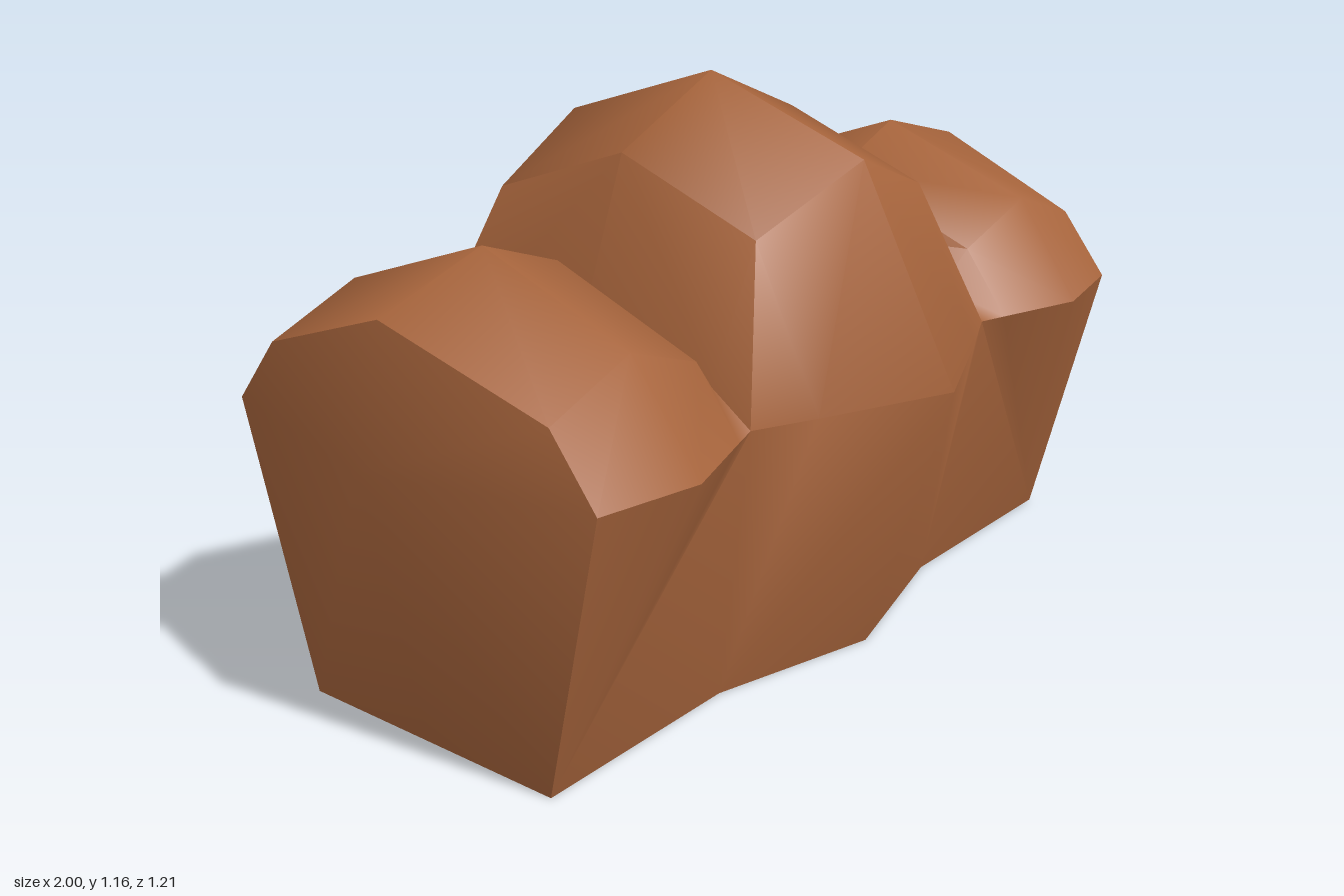
import * as THREE from 'three';
import { toCreasedNormals } from 'three/addons/utils/BufferGeometryUtils.js';

// Cross-sections from the centre outwards: [foot, waist, shoulder, ridge]
const FOOT_END = [0.86, 0, 0.315];
const FOOT_VALLEY = [0.37, 0, 0.315];
const SECTIONS = [
  [[0, 0, 0.415], [0, 0.6, 0.605], [0, 1.03, 0.38], [0, 1.16, 0]], // middle of the dome
  [FOOT_VALLEY, [0.28, 0.6, 0.482], [0.28, 0.92, 0.33], [0.28, 1.04, 0]], // dome side
  [FOOT_VALLEY, [0.41, 0.6, 0.42], [0.4, 0.66, 0.32], [0.4, 0.73, 0]], // valley
  [FOOT_END, [0.47, 0.6, 0.44], [0.47, 0.735, 0.34], [0.47, 0.865, 0]], // inner side of lobe
  [FOOT_END, [0.66, 0.6, 0.505], [0.67, 0.81, 0.355], [0.67, 0.94, 0]], // lobe crest
  [FOOT_END, [0.88, 0.6, 0.46], [0.88, 0.735, 0.355], [0.93, 0.865, 0]], // outer end
];
const END_TIP = [1, 0.6, 0];

// Triangles of one quarter, +x and +z
function quarterTriangles() {
  const tris = [];
  const add = (a, b, c) => {
    if (a !== b && b !== c && a !== c) tris.push([a, b, c]);
  };
  for (let i = 0; i < SECTIONS.length - 1; i++) {
    const s = SECTIONS[i], t = SECTIONS[i + 1];
    // Skin between neighbouring sections
    for (let j = 0; j < 3; j++) {
      add(s[j], t[j], s[j + 1]);
      add(t[j], t[j + 1], s[j + 1]);
    }
    // Flat underside
    if (s[0] !== t[0]) {
      const sc = [s[0][0], 0, 0], tc = [t[0][0], 0, 0];
      add(s[0], sc, t[0]);
      add(sc, tc, t[0]);
    }
  }
  // Pointed end cap
  const end = SECTIONS[SECTIONS.length - 1];
  for (let j = 0; j < 3; j++) add(END_TIP, end[j + 1], end[j]);
  add(END_TIP, end[0], [0.86, 0, 0]);
  return tris;
}

export function createModel() {
  const brown = new THREE.MeshStandardMaterial({ color: 0xa5633b });
  brown.name = 'earth brown';

  // Mirror the quarter in x and z, reversing the corners where needed
  const positions = [];
  for (const sx of [1, -1]) {
    for (const sz of [1, -1]) {
      for (const [a, b, c] of quarterTriangles()) {
        const corners = sx * sz > 0 ? [a, b, c] : [a, c, b];
        for (const [x, y, z] of corners) positions.push(x * sx, y, z * sz);
      }
    }
  }
  const geometry = new THREE.BufferGeometry();
  geometry.setAttribute('position', new THREE.Float32BufferAttribute(positions, 3));

  const mound = new THREE.Mesh(toCreasedNormals(geometry, THREE.MathUtils.degToRad(48)), brown);
  mound.name = 'threeLobedMound';

  const model = new THREE.Group();
  model.name = 'mound';
  model.add(mound);
  return model;
}
